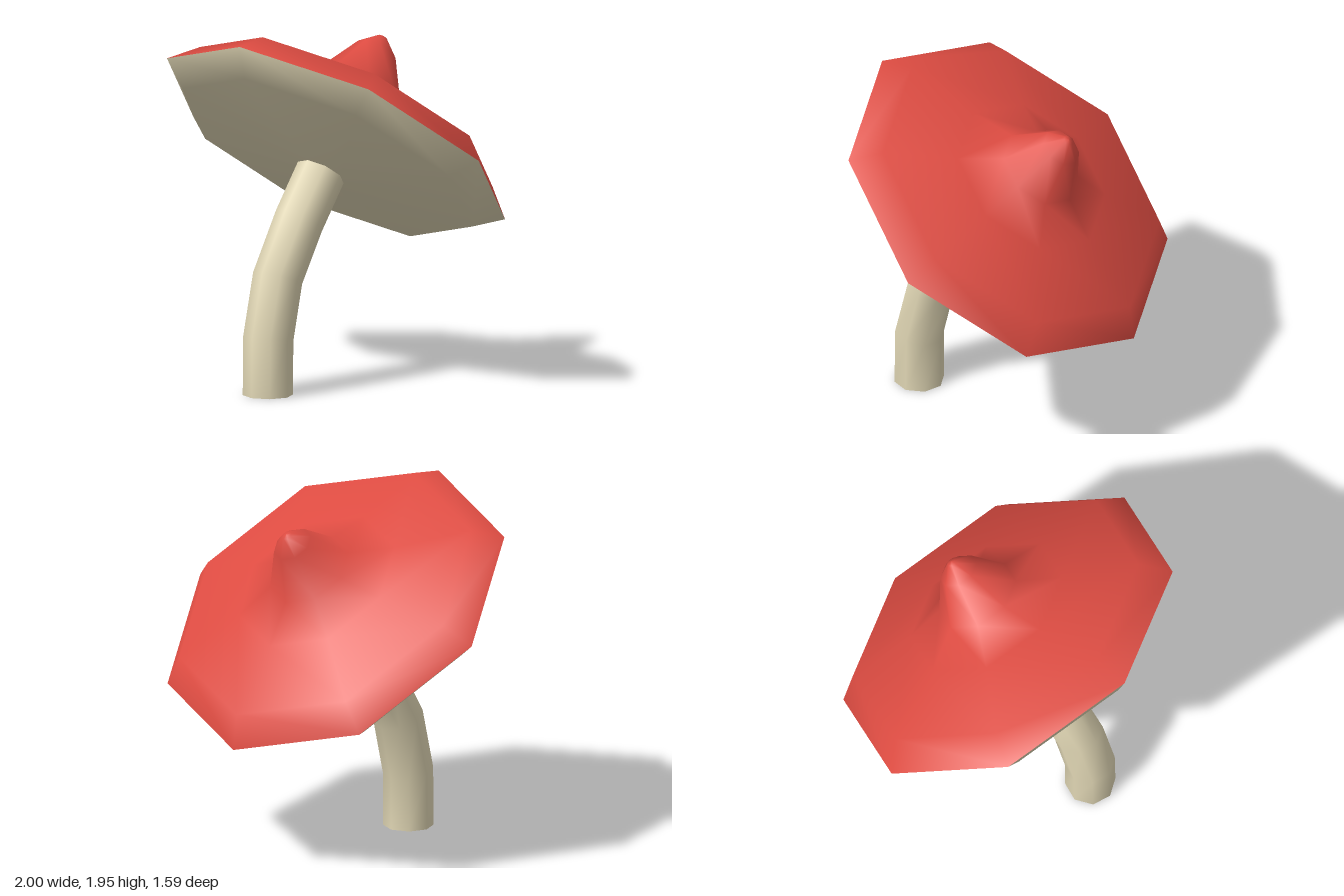
import * as THREE from 'three';

const SIDES = 8;

function lathePart(name, profile, color) {
  const points = profile.map(([r, h]) => new THREE.Vector2(r, h));
  const mesh = new THREE.Mesh(
    new THREE.LatheGeometry(points, SIDES),
    new THREE.MeshStandardMaterial({ color })
  );
  mesh.name = name;
  return mesh;
}

// Bent stem: each ring of a cylinder is tilted and moved onto the curve.
function createStem(color) {
  // height, depth and tilt of each ring
  const rings = [
    [0, 0.56, 0],
    [0.305, 0.557, -0.187],
    [0.622, 0.48, -0.363],
    [0.908, 0.305, -0.636],
    [1.165, 0.11, -0.65],
  ];
  const spans = rings.length - 1;
  const geometry = new THREE.CylinderGeometry(0.135, 0.135, 1, SIDES, spans);
  const { position, normal } = geometry.attributes;
  const axis = new THREE.Vector3(1, 0, 0);
  const v = new THREE.Vector3();
  for (let i = 0; i < position.count; i++) {
    const [y, z, tilt] = rings[Math.round((position.getY(i) + 0.5) * spans)];
    v.set(position.getX(i), 0, position.getZ(i)).applyAxisAngle(axis, tilt);
    position.setXYZ(i, v.x, v.y + y, v.z + z);
    v.fromBufferAttribute(normal, i).applyAxisAngle(axis, tilt);
    normal.setXYZ(i, v.x, v.y, v.z);
  }
  const mesh = new THREE.Mesh(geometry, new THREE.MeshStandardMaterial({ color }));
  mesh.name = 'stem';
  return mesh;
}

export function createModel() {
  const red = 0xde4c42;
  const cream = 0xe0d6b4;
  const model = new THREE.Group();
  model.name = 'mushroom';

  // Tilted cap, with its origin at the centre of the rim
  const cap = new THREE.Group();
  cap.name = 'cap';
  cap.add(
    lathePart('capTop', [
      [1, 0], [0.865, 0.137], [0.462, 0.242], [0.232, 0.339],
      [0.11, 0.553], [0.028, 0.627], [0, 0.633],
    ], red),
    lathePart('capUnderside', [
      [0, -0.21], [0.14, -0.207], [0.857, -0.116], [1, 0],
    ], cream)
  );
  cap.position.y = 1.31;
  cap.rotation.x = -0.655;

  model.add(createStem(cream), cap);
  return model;
}
